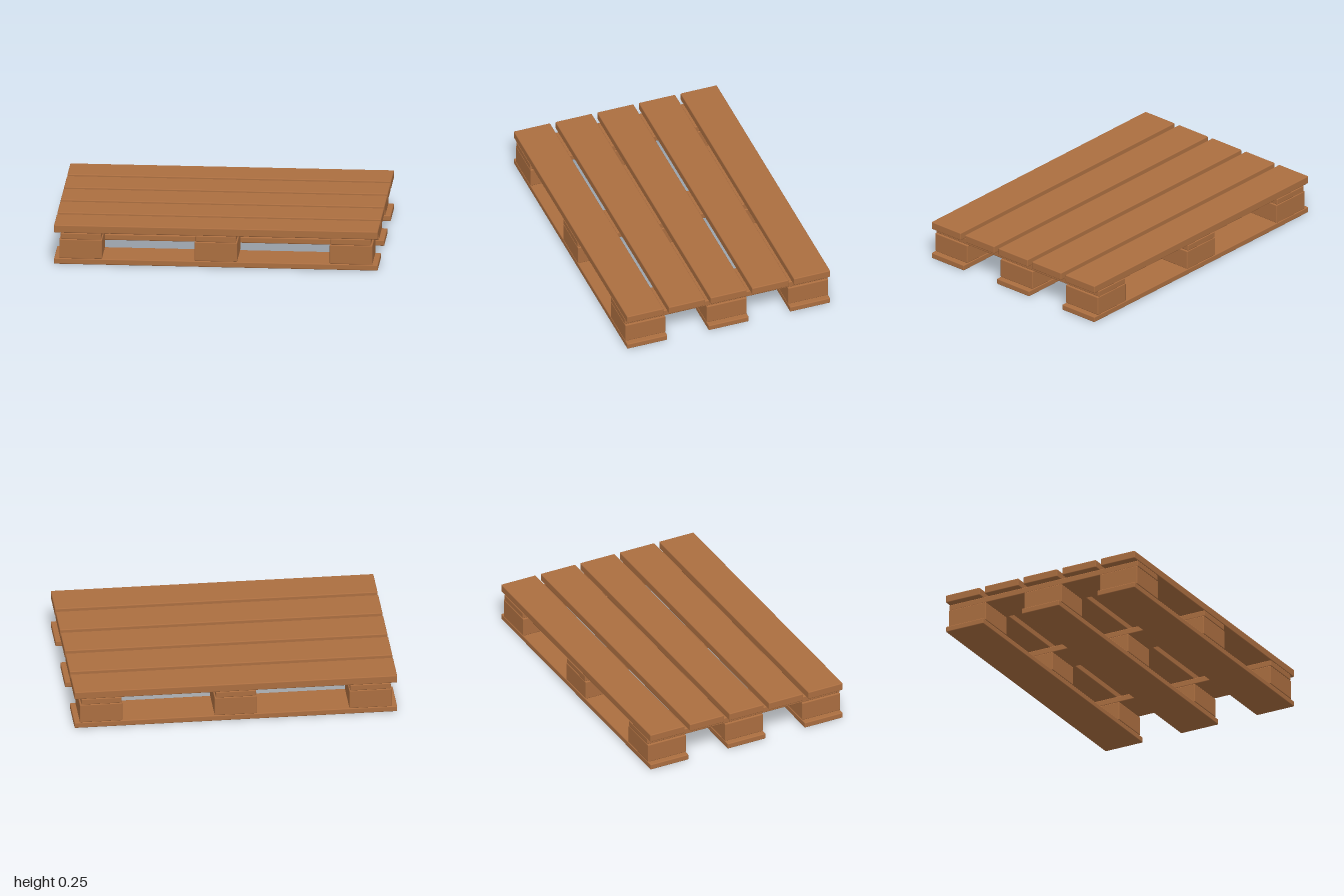
import * as THREE from 'three';
import { RoundedBoxGeometry } from 'three/addons/geometries/RoundedBoxGeometry.js';

export function createModel() {
  const pallet = new THREE.Group();
  pallet.name = 'pallet';
  const wood = new THREE.MeshStandardMaterial({ color: 0xab6e40 });
  wood.name = 'wood';

  // Plank or block with softened edges, standing on height y
  function addTimber(name, width, height, depth, x, y, z) {
    const geometry = new RoundedBoxGeometry(width, height, depth, 2, 0.006);
    const mesh = new THREE.Mesh(geometry, wood);
    mesh.name = name;
    mesh.position.set(x, y + height / 2, z);
    pallet.add(mesh);
  }

  // Five deck boards along x
  for (let i = -2; i <= 2; i++) {
    addTimber('deckBoard', 2, 0.05, 0.239, 0, 0.2, i * 0.274);
  }

  for (let i = -1; i <= 1; i++) {
    // Cross boards under the deck, along z
    addTimber('crossBoard', 0.249, 0.04, 1.335, i * 0.833, 0.16, 0);
    // Base boards along x
    addTimber('baseBoard', 2, 0.037, 0.264, 0, 0, i * 0.535);
    // Spacer blocks between base and cross boards
    for (let j = -1; j <= 1; j++) {
      addTimber('spacerBlock', 0.264, 0.123, 0.264, i * 0.835, 0.037, j * 0.535);
    }
  }
  return pallet;
}
